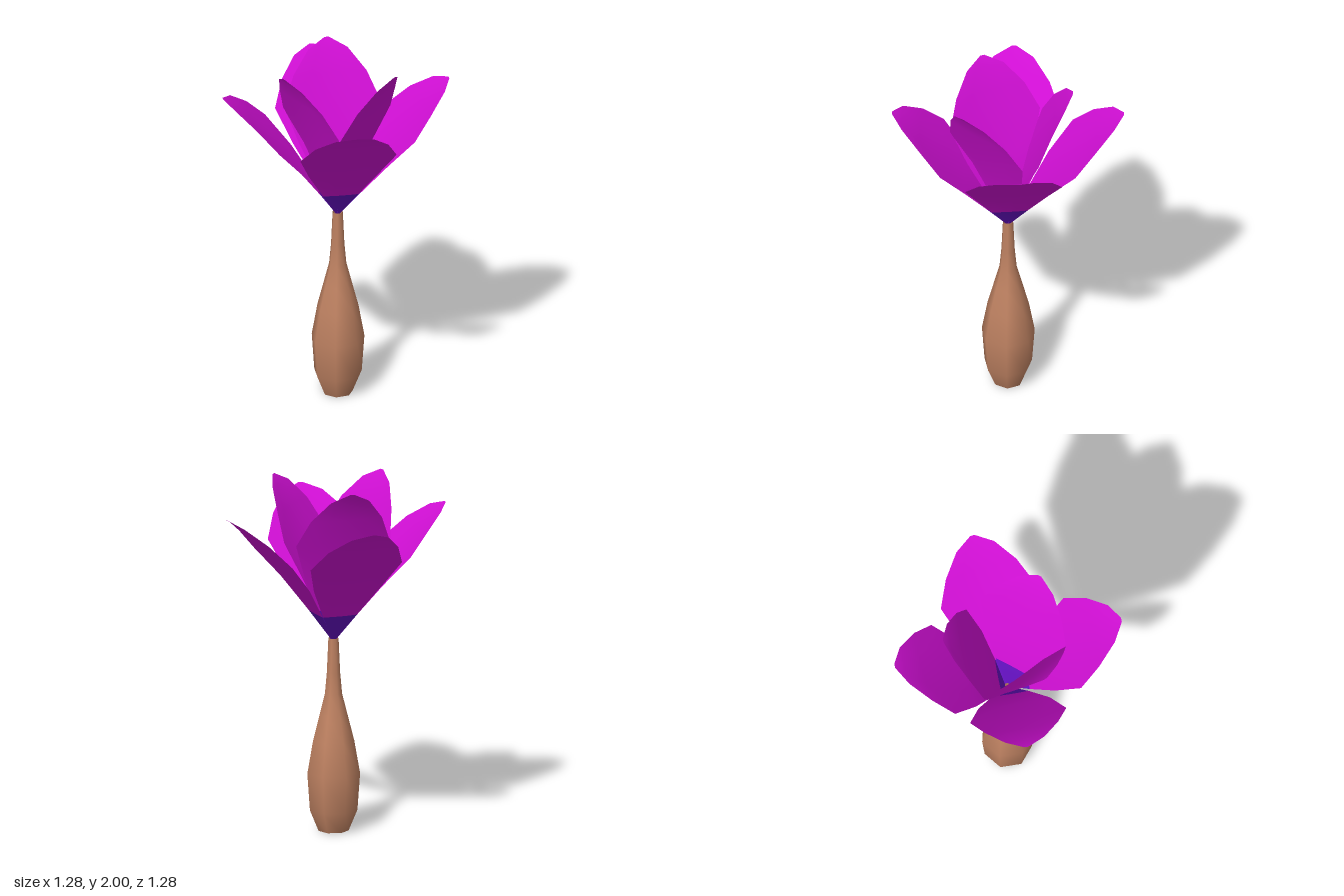
import * as THREE from 'three';

const magenta = new THREE.MeshStandardMaterial({ color: 0xd00fd4, side: THREE.DoubleSide });
magenta.name = 'petalMagenta';
const violet = new THREE.MeshStandardMaterial({ color: 0x6411c0, side: THREE.DoubleSide });
violet.name = 'petalBaseViolet';
const brown = new THREE.MeshStandardMaterial({ color: 0xbf8262, side: THREE.DoubleSide });
brown.name = 'stemBrown';

// Petal cross-sections: distance along the petal, half width, inward lift of the spine
const ROWS = [
  [0.0, 0.012, 0.0], [0.18, 0.1, 0.025], [0.4, 0.2, 0.042], [0.61, 0.27, 0.035],
  [0.775, 0.205, 0.034], [0.91, 0.11, 0.018], [0.972, 0.012, 0.0],
];
const COLS = [-1, -0.5, 0, 0.5, 1];
const BASE_Y = 1.09;

// One cupped petal that leans outward along +z; the first band is violet
function petalGeometry(leanZ, leanY) {
  const len = Math.hypot(leanZ, leanY);
  const dz = leanZ / len, dy = leanY / len;
  const pos = [], index = [];
  for (const [s, w, lift] of ROWS) {
    for (const c of COLS) {
      const up = lift + 0.02 * (c * w / 0.27) ** 2;
      pos.push(c * w, BASE_Y + s * dy + up * dz, 0.012 + s * dz - up * dy);
    }
  }
  const n = COLS.length;
  for (let r = 0; r < ROWS.length - 1; r++) {
    for (let c = 0; c < n - 1; c++) {
      const a = r * n + c, b = a + 1, d = a + n, e = d + 1;
      index.push(a, d, b, b, d, e);
    }
  }
  const geo = new THREE.BufferGeometry();
  geo.setAttribute('position', new THREE.Float32BufferAttribute(pos, 3));
  // Wind so that the inner, upper face is the front
  for (let i = 0; i < index.length; i += 3) [index[i + 1], index[i + 2]] = [index[i + 2], index[i + 1]];
  geo.setIndex(index);
  geo.computeVertexNormals();
  const band = (n - 1) * 6;
  geo.addGroup(0, band, 0);
  geo.addGroup(band, index.length - band, 1);
  return geo;
}

// A ring of equal petals turned to the given angles about y
function petalRing(name, geo, angles) {
  const ring = new THREE.Group();
  ring.name = name + 's';
  angles.forEach((angle, i) => {
    const petal = new THREE.Mesh(geo, [violet, magenta]);
    petal.name = name + (i + 1);
    petal.rotation.y = angle;
    ring.add(petal);
  });
  return ring;
}

export function createModel() {
  const model = new THREE.Group();
  model.name = 'flower';

  // Seven-sided bulbous stem, open at both ends
  const profile = [
    [0.085, 0], [0.135, 0.12], [0.15, 0.33], [0.117, 0.517],
    [0.08, 0.66], [0.049, 0.78], [0.038, 0.9], [0.029, 1.095],
  ].map(([r, y]) => new THREE.Vector2(r, y));
  const stem = new THREE.Mesh(new THREE.LatheGeometry(profile, 7, Math.PI / 2), brown);
  stem.name = 'stem';
  model.add(stem);

  // Four spreading outer petals and three upright inner ones
  const PI = Math.PI;
  model.add(petalRing('outerPetal', petalGeometry(0.63, 0.74), [0.015, PI / 2 + 0.14, PI + 0.08, -PI / 2]));
  model.add(petalRing('innerPetal', petalGeometry(0.35, 0.91), [0.89, PI + 0.02, -1.11]));
  return model;
}
